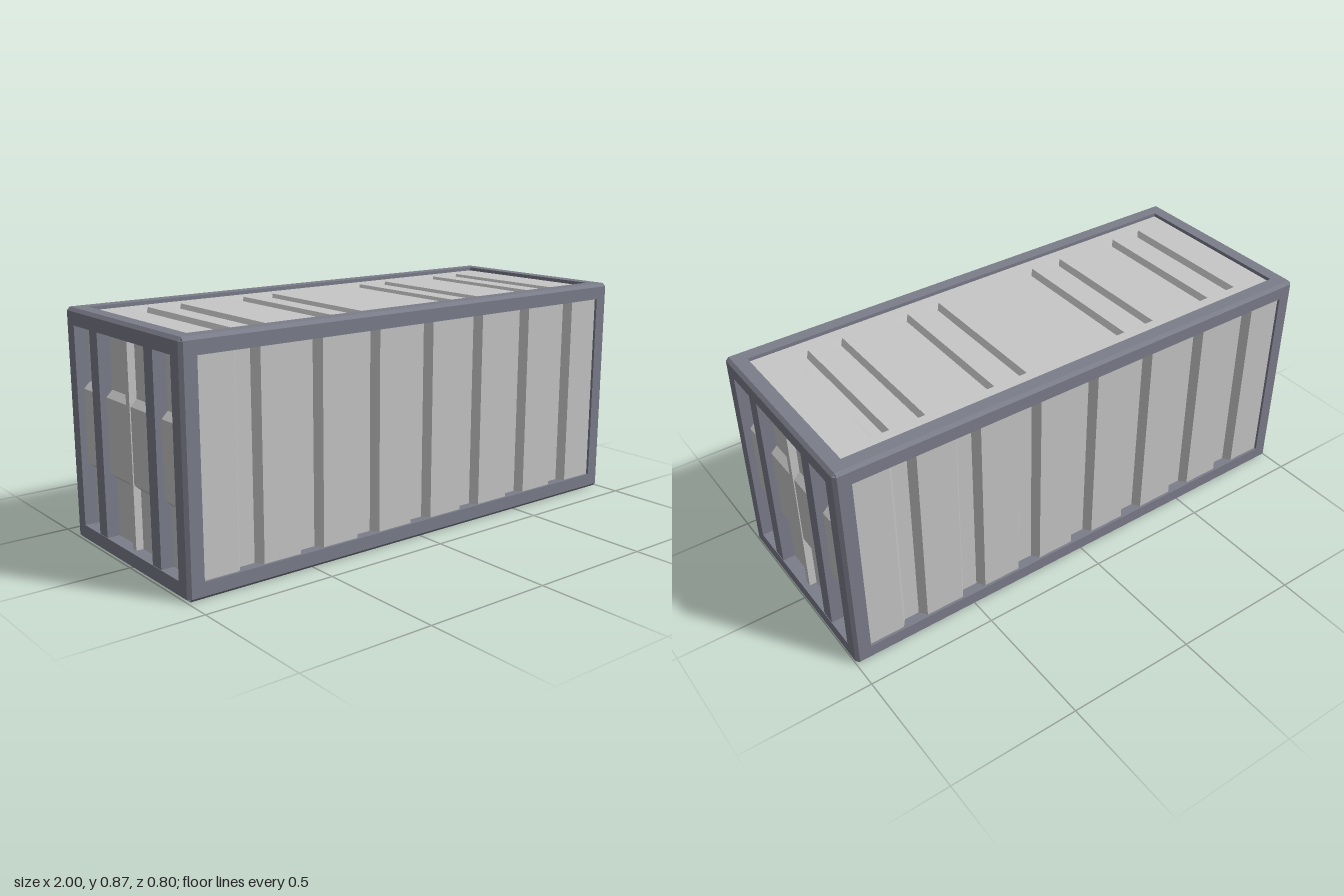
import * as THREE from 'three';
import { mergeGeometries } from 'three/addons/utils/BufferGeometryUtils.js';

const L = 1, H = 0.866, D = 0.4;      // half length, height, half depth
const BEAM = 0.061, BEVEL = 0.012;

const frameMat = new THREE.MeshStandardMaterial({ color: 0x7b7d8a });
frameMat.name = 'slate frame';
const panelMat = new THREE.MeshStandardMaterial({ color: 0xc6c6c6 });
panelMat.name = 'light grey panel';

function addMesh(parent, name, geometry, material) {
  const mesh = new THREE.Mesh(geometry, material);
  mesh.name = name;
  parent.add(mesh);
  return mesh;
}

function extrudePoints(points, depth) {
  const shape = new THREE.Shape(points.map(([x, y]) => new THREE.Vector2(x, y)));
  return new THREE.ExtrudeGeometry(shape, { depth, bevelEnabled: false }).translate(0, 0, -depth / 2);
}

// Square beam along z whose outer edge (sx, sy) is chamfered
function beam(halfW, halfH, sx, sy, length) {
  const p = [
    [halfW - BEAM, halfH - BEAM], [halfW, halfH - BEAM], [halfW, halfH - BEVEL],
    [halfW - BEVEL, halfH], [halfW - BEAM, halfH],
  ];
  return extrudePoints(p.map(([x, y]) => [x * sx, y * sy]), length);
}

// Twelve chamfered beams forming the outer frame, centred on the origin
function frameGeometry() {
  const parts = [];
  const h = H / 2;
  for (const a of [-1, 1]) {
    for (const b of [-1, 1]) {
      parts.push(beam(L, h, a, b, 2 * (D - BEVEL)));
      parts.push(beam(D, h, a, b, 2 * (L - BEVEL)).rotateY(Math.PI / 2));
      parts.push(beam(L, D, a, b, 2 * (h - BEVEL)).rotateX(Math.PI / 2));
    }
  }
  return mergeGeometries(parts);
}

// Side wall with seven vertical grooves, outer face towards +z
function corrugatedWall() {
  const out = 0.39, inner = 0.361;
  const points = [[-0.96, 0.345], [-0.96, out]];
  for (let i = -3; i <= 3; i++) {
    const x = i * 0.25;
    points.push([x - 0.05, out], [x - 0.029, inner], [x + 0.029, inner], [x + 0.05, out]);
  }
  points.push([0.96, out], [0.96, 0.345]);
  // Profile (x, z) swept along y
  return extrudePoints(points.map(([x, z]) => [x, -z]), H - 0.06).rotateX(-Math.PI / 2);
}

// Tapered pit, faces turned inward, opening at y = 0
function pit(width, length, depth, taper) {
  const box = new THREE.BoxGeometry(width, depth, length).translate(0, -depth / 2, 0);
  const pos = box.attributes.position;
  for (let i = 0; i < pos.count; i++) {
    if (pos.getY(i) < -depth / 2) {
      pos.setX(i, pos.getX(i) - Math.sign(pos.getX(i)) * taper);
      pos.setZ(i, pos.getZ(i) - Math.sign(pos.getZ(i)) * taper);
    }
  }
  // Drop the lid and reverse the winding
  const index = Array.from(box.index.array).filter((_, i) => i < 12 || i >= 18);
  box.setIndex(index.reverse());
  const g = box.toNonIndexed();
  g.computeVertexNormals();
  return g;
}

// Flat deck with eight pressed grooves, facing +y
function deckGeometry() {
  const w = 0.95, d = 0.36, halfPit = 0.0325, pitZ = 0.284;
  const rect = (C, x0, x1, z) => new C([
    new THREE.Vector2(x0, -z), new THREE.Vector2(x1, -z),
    new THREE.Vector2(x1, z), new THREE.Vector2(x0, z),
  ]);
  const shape = rect(THREE.Shape, -w, w, d);
  const parts = [];
  for (const side of [-1, 1]) {
    for (const x of [0.219, 0.355, 0.63, 0.767]) {
      const cx = x * side;
      shape.holes.push(rect(THREE.Path, cx - halfPit, cx + halfPit, pitZ));
      parts.push(pit(2 * halfPit, 2 * pitZ, 0.022, 0.013).translate(cx, 0, 0));
    }
  }
  parts.push(new THREE.ShapeGeometry(shape).rotateX(-Math.PI / 2).toNonIndexed());
  return mergeGeometries(parts);
}

// Door end with a raised middle band, facing +x
function doorGeometry() {
  const low = 0.95, high = 0.974;
  return extrudePoints([
    [0.93, 0.03], [low, 0.03], [low, 0.275], [high, 0.297],
    [high, 0.573], [low, 0.597], [low, 0.836], [0.93, 0.836],
  ], 0.72);
}

export function createModel() {
  const model = new THREE.Group();
  model.name = 'shippingContainer';

  addMesh(model, 'outerFrame', frameGeometry(), frameMat).position.y = H / 2;

  const wall = corrugatedWall();
  const door = doorGeometry();
  const deck = deckGeometry();

  // Front and back walls
  for (const [name, turn] of [['frontWall', 0], ['backWall', Math.PI]]) {
    const m = addMesh(model, name, wall, panelMat);
    m.position.y = H / 2;
    m.rotation.y = turn;
  }

  // Roof and floor
  addMesh(model, 'roof', deck, panelMat).position.y = H - 0.014;
  const floor = addMesh(model, 'floor', deck, panelMat);
  floor.position.y = 0.014;
  floor.rotation.x = Math.PI;

  // Door ends with their centre seam and locking bars
  for (const [name, turn] of [['leftEnd', 0], ['rightEnd', Math.PI]]) {
    const end = new THREE.Group();
    end.name = name;
    end.rotation.y = turn;
    addMesh(end, 'doors', door, panelMat);
    const seam = addMesh(end, 'doorSeam', new THREE.BoxGeometry(0.04, 0.8, 0.024), panelMat);
    seam.position.set(0.958, H / 2, 0);
    for (const s of [-1, 1]) {
      const bar = addMesh(end, 'doorBar', new THREE.BoxGeometry(0.06, 0.8, 0.057), frameMat);
      bar.position.set(0.968, H / 2, s * 0.1935);
    }
    model.add(end);
  }
  return model;
}
